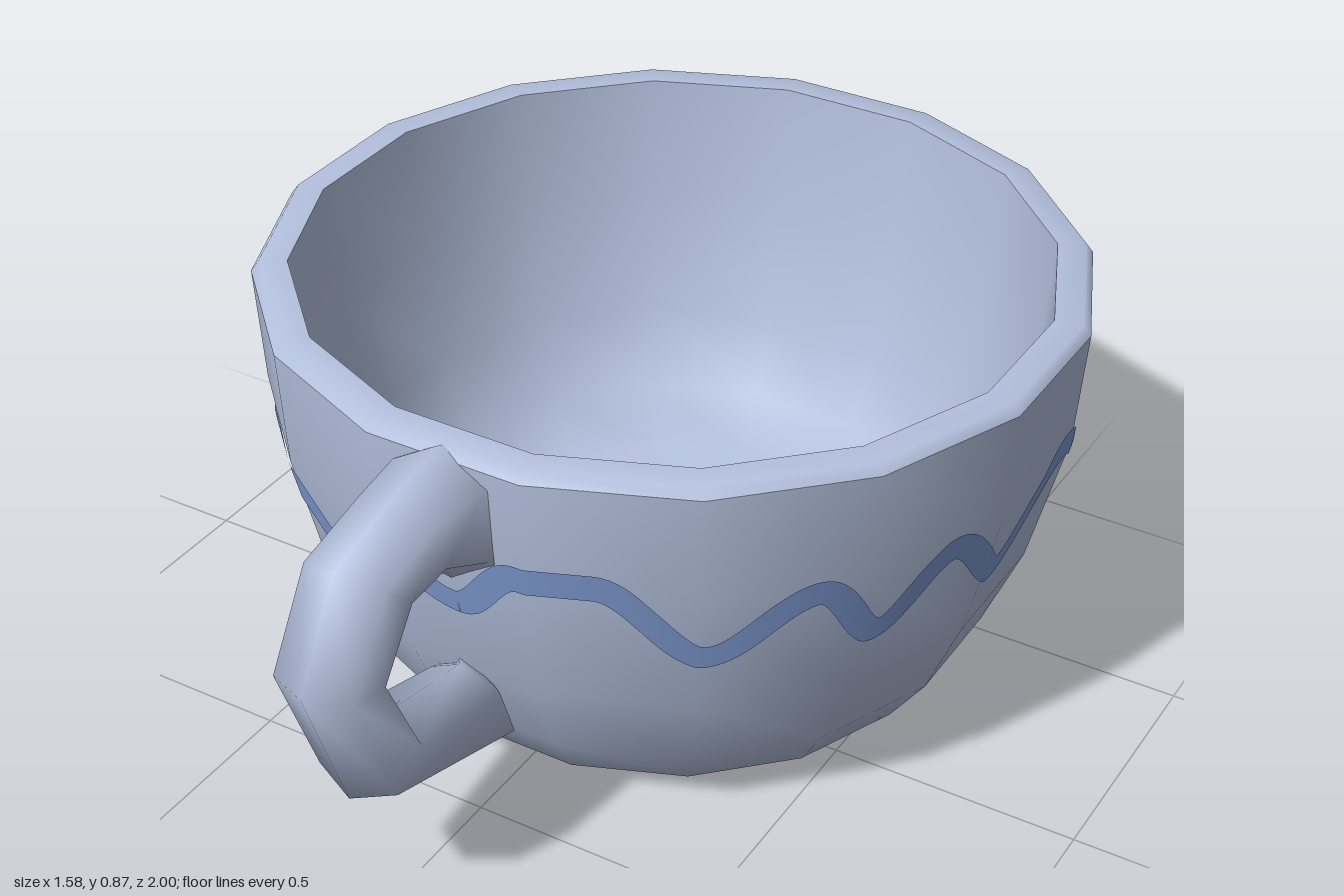
import * as THREE from 'three';
import { ParametricGeometry } from 'three/addons/geometries/ParametricGeometry.js';

const SIDES = 16, STEP = (Math.PI * 2) / SIDES, CUP_Z = -0.21;

// Cup profiles as [radius, height]
const OUTER = [[0, 0], [0.464, 0], [0.576, 0.05], [0.652, 0.16], [0.724, 0.335], [0.79, 0.61], [0.805, 0.845]];
const RIM = [[0.805, 0.845], [0.79, 0.865], [0.735, 0.865]];
const INNER = [[0.735, 0.865], [0.715, 0.61], [0.655, 0.35], [0.585, 0.19], [0.49, 0.1], [0, 0.07]];

// Crests and troughs of the painted wave as [degrees from the front, height]
const WAVE = [
  [0, 0.52], [10, 0.635], [20, 0.635], [35, 0.48], [50, 0.605], [59, 0.475], [71, 0.6], [82, 0.475],
  [99, 0.625], [114, 0.47], [127, 0.59], [140, 0.46], [158, 0.62], [172, 0.45], [185, 0.585], [199, 0.445],
  [212, 0.605], [227, 0.455], [244, 0.615], [257, 0.46], [269, 0.585], [279, 0.455], [289, 0.6],
  [308, 0.435], [318, 0.63], [337, 0.465], [347, 0.585], [360, 0.52],
];

function lathe(profile) {
  const points = profile.map(([r, y]) => new THREE.Vector2(r, y));
  return new THREE.LatheGeometry(points, SIDES, STEP / 2);
}

// Outer radius of the faceted cup at a given angle and height
function wallRadius(angle, y) {
  let i = 1;
  while (i < OUTER.length - 2 && OUTER[i + 1][1] < y) i++;
  const [r0, y0] = OUTER[i], [r1, y1] = OUTER[i + 1];
  const r = r0 + ((r1 - r0) * (y - y0)) / (y1 - y0);
  const off = angle - Math.round(angle / STEP) * STEP;
  return (r * Math.cos(STEP / 2)) / Math.cos(off);
}

function waveHeight(deg) {
  let i = 0;
  while (i < WAVE.length - 2 && WAVE[i + 1][0] < deg) i++;
  const [a0, y0] = WAVE[i], [a1, y1] = WAVE[i + 1];
  const t = (deg - a0) / (a1 - a0);
  return y0 + (y1 - y0) * (0.5 - 0.5 * Math.cos(Math.PI * t));
}

// Thin painted ribbon lying just above the wall
function waveBand() {
  const mean = 0.765, half = 0.028;
  const geo = new ParametricGeometry((u, v, target) => {
    const deg = u * 360, d = 0.3;
    const slope = (waveHeight(Math.min(360, deg + d)) - waveHeight(Math.max(0, deg - d))) /
      (mean * THREE.MathUtils.degToRad(2 * d));
    const len = Math.hypot(1, slope), side = (v - 0.5) * 2 * half;
    const angle = THREE.MathUtils.degToRad(deg) - (side * slope) / len / mean;
    const y = waveHeight(deg) + side / len;
    const r = wallRadius(angle, y) + 0.004;
    target.set(r * Math.sin(angle), y, r * Math.cos(angle));
  }, 720, 4);
  // Shade the ribbon like the smooth wall beneath it
  const p = geo.attributes.position, n = new THREE.Vector3();
  for (let i = 0; i < p.count; i++) {
    n.set(p.getX(i), 0, p.getZ(i)).normalize().setY(-0.2).normalize();
    geo.attributes.normal.setXYZ(i, n.x, n.y, n.z);
  }
  return geo;
}

// Handle sections: outer z, outer y, inner z, inner y, centre x, half width
const HANDLE = [
  [0.53, 0.85, 0.54, 0.56, -0.005, 0.11],
  [0.585, 0.872, 0.58, 0.6, -0.005, 0.095],
  [0.71, 0.845, 0.68, 0.67, -0.005, 0.083],
  [0.89, 0.795, 0.76, 0.675, -0.005, 0.083],
  [1.0, 0.605, 0.84, 0.575, -0.005, 0.083],
  [0.89, 0.31, 0.755, 0.415, -0.005, 0.083],
  [0.45, 0.145, 0.53, 0.36, -0.015, 0.075],
  [0.355, 0.065, 0.46, 0.33, -0.06, 0.04],
];

// Six-sided handle swept through the sections
function handleGeometry() {
  const ring = [[0, 0], [1, 0.22], [1, 0.78], [0, 1], [-1, 0.78], [-1, 0.22]];
  const pos = [], index = [], n = ring.length;
  HANDLE.forEach(([oz, oy, iz, iy, cx, w], s) => {
    ring.forEach(([x, t], i) => {
      pos.push(cx + x * w, oy + (iy - oy) * t, oz + (iz - oz) * t);
      if (s === HANDLE.length - 1) return;
      const a = s * n + i, b = s * n + ((i + 1) % n), c = b + n, d = a + n;
      index.push(a, d, c, a, c, b);
    });
  });
  const geo = new THREE.BufferGeometry();
  geo.setAttribute('position', new THREE.Float32BufferAttribute(pos, 3));
  geo.setIndex(index);
  geo.computeVertexNormals();
  return geo;
}

export function createModel() {
  const glaze = new THREE.MeshStandardMaterial({ color: 0xb4c1de });
  glaze.name = 'paleBlueGlaze';
  const paint = new THREE.MeshStandardMaterial({ color: 0x809cd4 });
  paint.name = 'bluePaint';

  const model = new THREE.Group();
  model.name = 'teacup';
  const cup = new THREE.Group();
  cup.name = 'cup';
  cup.position.z = CUP_Z;
  model.add(cup);

  const add = (parent, name, geometry, material) => {
    const mesh = new THREE.Mesh(geometry, material);
    mesh.name = name;
    parent.add(mesh);
  };
  add(cup, 'outerWall', lathe(OUTER), glaze);
  add(cup, 'rim', lathe(RIM), glaze);
  add(cup, 'innerBowl', lathe(INNER), glaze);
  add(cup, 'waveBand', waveBand(), paint);
  add(model, 'handle', handleGeometry(), glaze);
  return model;
}
